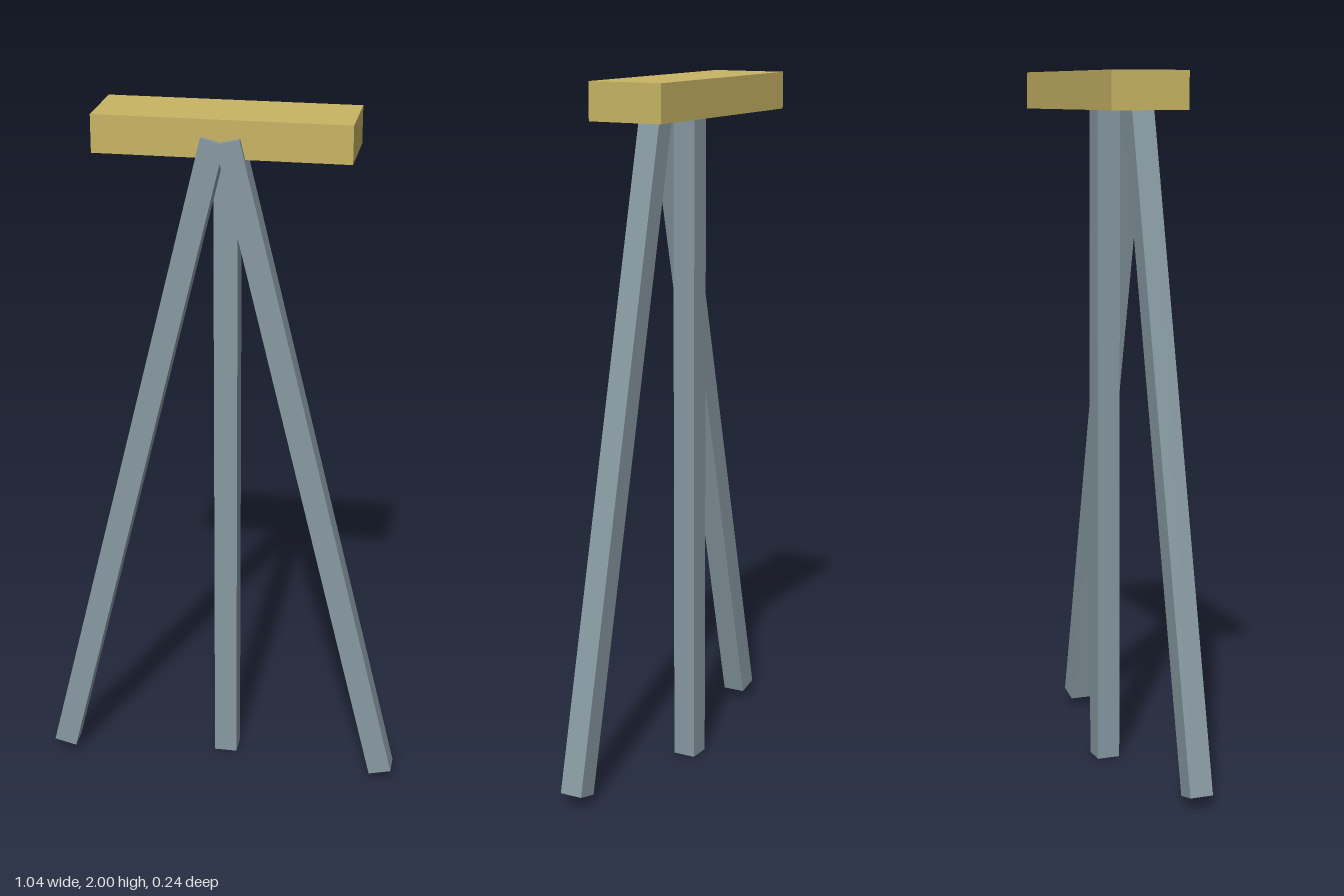
import * as THREE from 'three';

export function createModel() {
  const group = new THREE.Group();
  const gold = new THREE.MeshStandardMaterial({ name: 'ochre', color: 0xc8b464 });
  const grey = new THREE.MeshStandardMaterial({ name: 'blueGrey', color: 0x8799a1 });

  function addBox(name, size, position, material, tilt = 0) {
    const mesh = new THREE.Mesh(new THREE.BoxGeometry(...size), material);
    mesh.name = name;
    mesh.position.set(...position);
    mesh.rotation.z = tilt;
    group.add(mesh);
  }

  const thick = 0.067, length = 1.967, tilt = 0.2387;

  // Top block
  addBox('topBlock', [0.704, 0.105, 0.221], [0, 1.9475, -0.0085], gold);

  // Upright rear leg, its top set into the block
  addBox('rearLeg', [thick, length, thick], [0, length / 2, -0.0065], grey);

  // Pair of splayed front legs crossing at the top
  for (const [name, side] of [['leftFrontLeg', 1], ['rightFrontLeg', -1]]) {
    addBox(name, [thick, length, thick], [side * 0.2525, 0.9885, 0.0835], grey, side * tilt);
  }

  return group;
}
